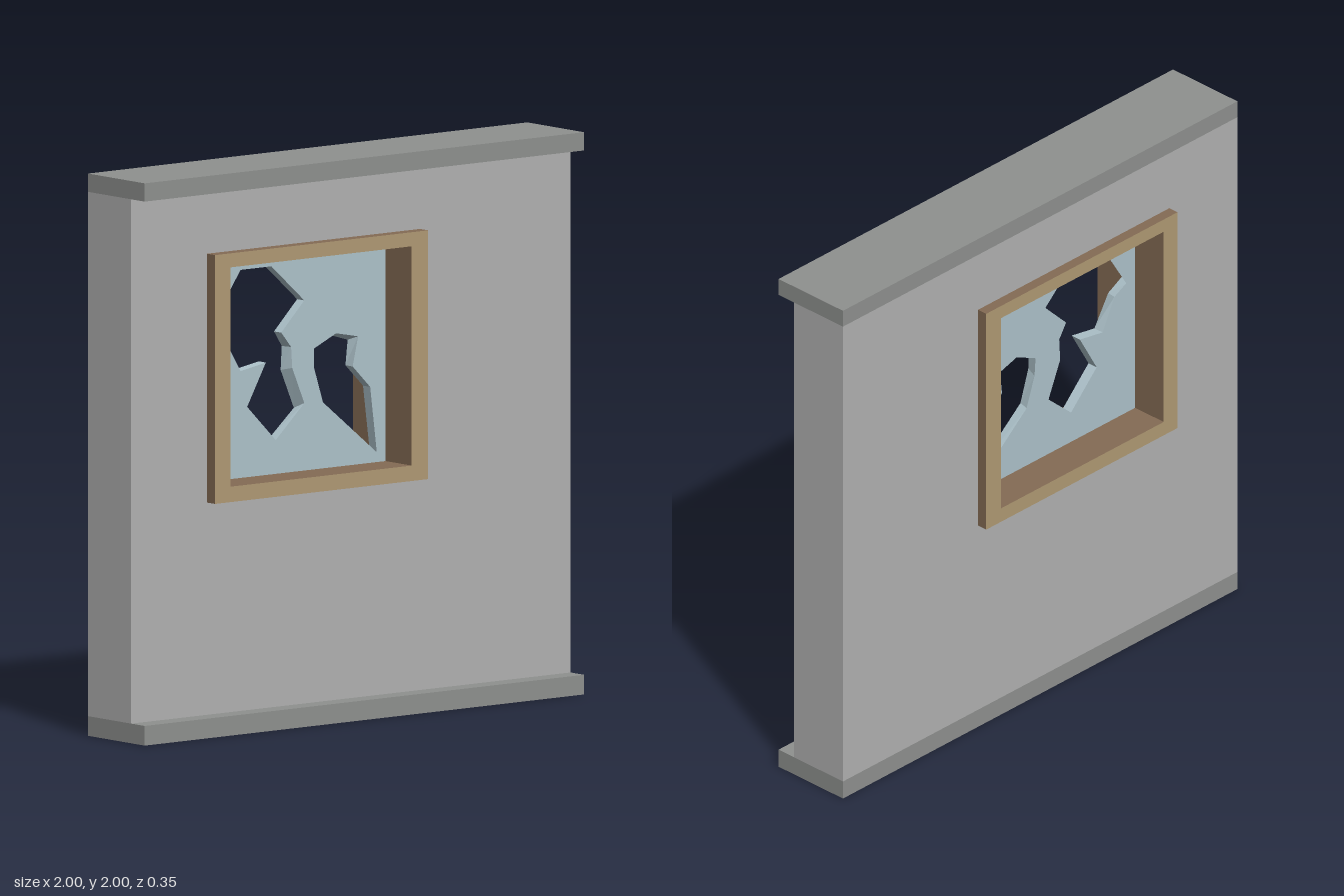
import * as THREE from 'three';

const material = (name, color) => {
  const m = new THREE.MeshStandardMaterial({ color });
  m.name = name;
  return m;
};

const points = (pairs) => pairs.map(([x, y]) => new THREE.Vector2(x, y));
const rect = (x0, x1, y0, y1) => points([[x0, y0], [x1, y0], [x1, y1], [x0, y1]]);

// Rectangular ring extruded from z0 to z1
function ring(outer, inner, z0, z1) {
  const shape = new THREE.Shape(outer);
  shape.holes.push(new THREE.Path(inner));
  const g = new THREE.ExtrudeGeometry(shape, { depth: z1 - z0, bevelEnabled: false });
  return g.translate(0, 0, z0);
}

// Pane whose holes have a different outline on the front and the back
function brokenPane(outline, frontHoles, backHoles, zBack, zFront) {
  const pos = [];
  const put = (p, z) => pos.push(p.x, p.y, z);
  const face = (holes, z, flip) => {
    const all = [...outline, ...holes.flat()];
    for (const [a, b, c] of THREE.ShapeUtils.triangulateShape(outline, holes)) {
      for (const i of flip ? [a, c, b] : [a, b, c]) put(all[i], z);
    }
  };
  face(frontHoles, zFront, false);
  face(backHoles, zBack, true);
  // Broken edges, joining the two outlines of each hole
  frontHoles.forEach((front, h) => {
    const back = backHoles[h];
    front.forEach((a, i) => {
      const j = (i + 1) % front.length;
      put(a, zFront); put(back[i], zBack); put(back[j], zBack);
      put(a, zFront); put(back[j], zBack); put(front[j], zFront);
    });
  });
  const g = new THREE.BufferGeometry();
  g.setAttribute('position', new THREE.Float32BufferAttribute(pos, 3));
  g.computeVertexNormals();
  return g;
}

export function createModel() {
  const group = new THREE.Group();
  const wallGrey = material('wall grey', 0xb2b2b2);
  const trimGrey = material('trim grey', 0x8f918f);
  const paleWood = material('pale wood', 0xb09a74);
  const darkWood = material('dark wood', 0x846b54);
  const glass = material('glass', 0xaec3cb);

  const add = (name, geometry, mat) => {
    const mesh = new THREE.Mesh(geometry, mat);
    mesh.name = name;
    group.add(mesh);
    return mesh;
  };

  // Wall with the window opening
  const frameOuter = rect(-0.655, 0.315, 0.825, 1.71);
  const frameInner = rect(-0.585, 0.24, 0.88, 1.66);
  add('wall', ring(rect(-1, 1, 0.07, 1.935), frameOuter, -0.135, 0.105), wallGrey);

  // Top and bottom rails, flush with the wall at the back
  for (const [name, y0, y1] of [['bottomRail', 0, 0.07], ['topRail', 1.935, 2]]) {
    add(name, new THREE.BoxGeometry(2, y1 - y0, 0.315), trimGrey)
      .position.set(0, (y0 + y1) / 2, 0.0225);
  }

  // Window frame: pale faces, dark sides
  add('windowFrame', ring(frameOuter, frameInner, -0.175, 0.15), [paleWood, darkWood]);

  // Broken glass
  const frontHoles = [
    points([[-0.42, 1.62], [-0.28, 1.62], [-0.13, 1.485], [-0.235, 1.38], [-0.19, 1.325],
      [-0.185, 1.25], [-0.13, 1.12], [-0.26, 1.0], [-0.39, 1.13], [-0.305, 1.28],
      [-0.42, 1.26], [-0.49, 1.375], [-0.565, 1.415]]),
    points([[-0.085, 1.31], [0.015, 1.355], [0.115, 1.335], [0.09, 1.23], [0.17, 1.15],
      [0.2, 0.915], [-0.045, 1.115], [-0.085, 1.24]]),
  ];
  const backHoles = [
    points([[-0.41, 1.62], [-0.28, 1.62], [-0.13, 1.485], [-0.235, 1.38], [-0.2, 1.325],
      [-0.205, 1.24], [-0.145, 1.1], [-0.26, 1.0], [-0.39, 1.13], [-0.305, 1.28],
      [-0.42, 1.26], [-0.48, 1.38], [-0.54, 1.41]]),
    points([[-0.08, 1.3], [0.015, 1.345], [0.1, 1.32], [0.09, 1.23], [0.17, 1.15],
      [0.2, 0.92], [-0.035, 1.115], [-0.075, 1.23]]),
  ];
  add('brokenGlass', brokenPane(frameInner, frontHoles, backHoles, -0.035, 0.005), glass);

  return group;
}
